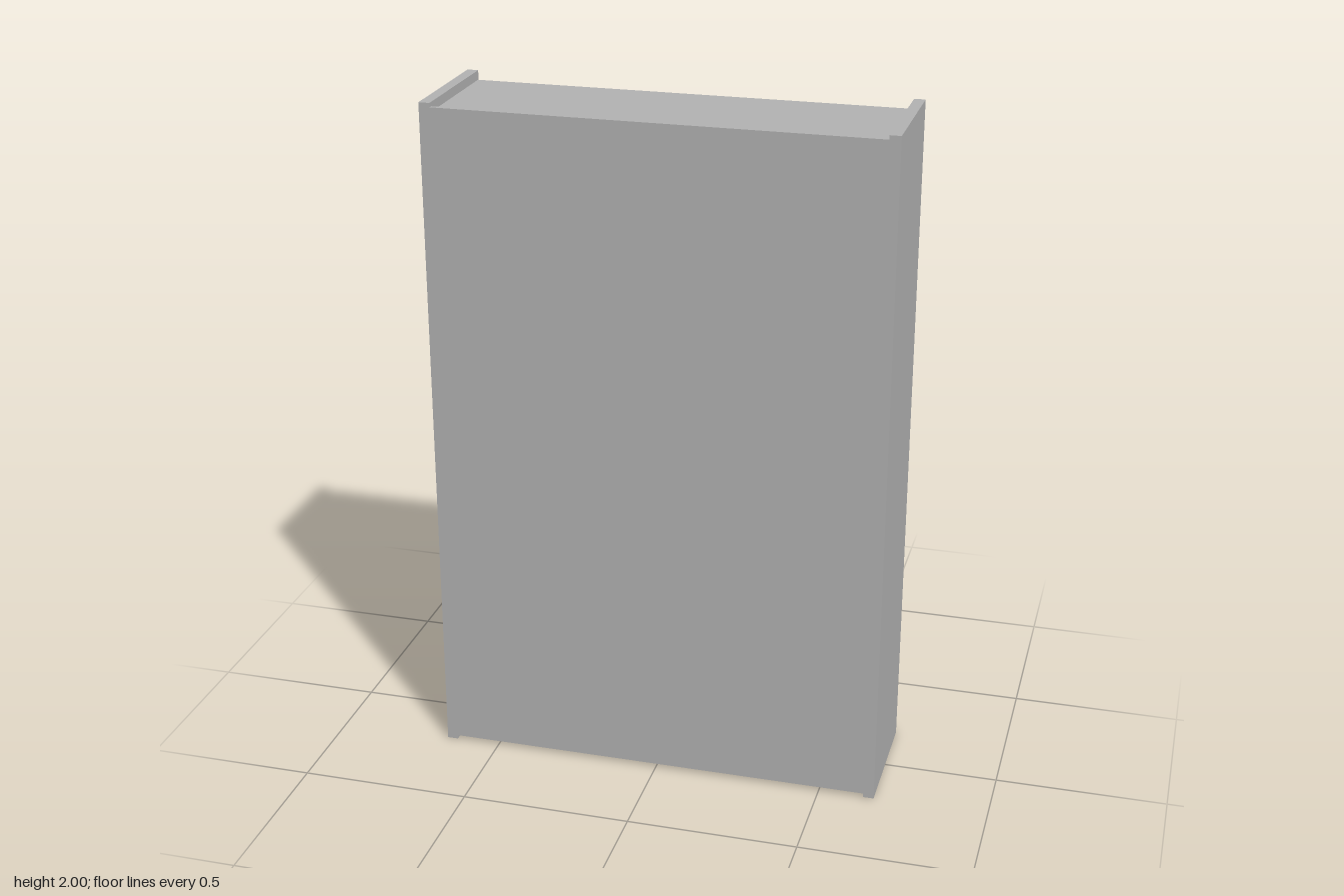
import * as THREE from 'three';

const W = 0.665;      // half width over the side boards
const INNER = 0.633;  // half width between the side boards
const DEPTH = 0.195;  // half depth

export function createModel() {
  const group = new THREE.Group();
  const grey = new THREE.MeshStandardMaterial({ color: 0xb2b2b2 });
  grey.name = 'grey board';

  // Board given by its minimum and maximum corners
  const board = (name, [x0, y0, z0], [x1, y1, z1]) => {
    const mesh = new THREE.Mesh(new THREE.BoxGeometry(x1 - x0, y1 - y0, z1 - z0), grey);
    mesh.position.set((x0 + x1) / 2, (y0 + y1) / 2, (z0 + z1) / 2);
    mesh.name = name;
    group.add(mesh);
  };

  // Full-height side boards
  board('leftSide', [INNER, 0, -DEPTH], [W, 2, DEPTH]);
  board('rightSide', [-W, 0, -DEPTH], [-INNER, 2, DEPTH]);

  // Thin closing panel, flush with the sides at +z
  board('panel', [-INNER, 0.012, 0.183], [INNER, 1.988, DEPTH]);

  // Five evenly spaced shelves, set slightly back from the open side
  const count = 5, lowest = 0.105, highest = 1.973, thickness = 0.03;
  for (let i = 0; i < count; i++) {
    const top = lowest + (highest - lowest) * i / (count - 1);
    board('shelf' + (i + 1), [-INNER, top - thickness, -0.19], [INNER, top, 0.183]);
  }
  return group;
}
